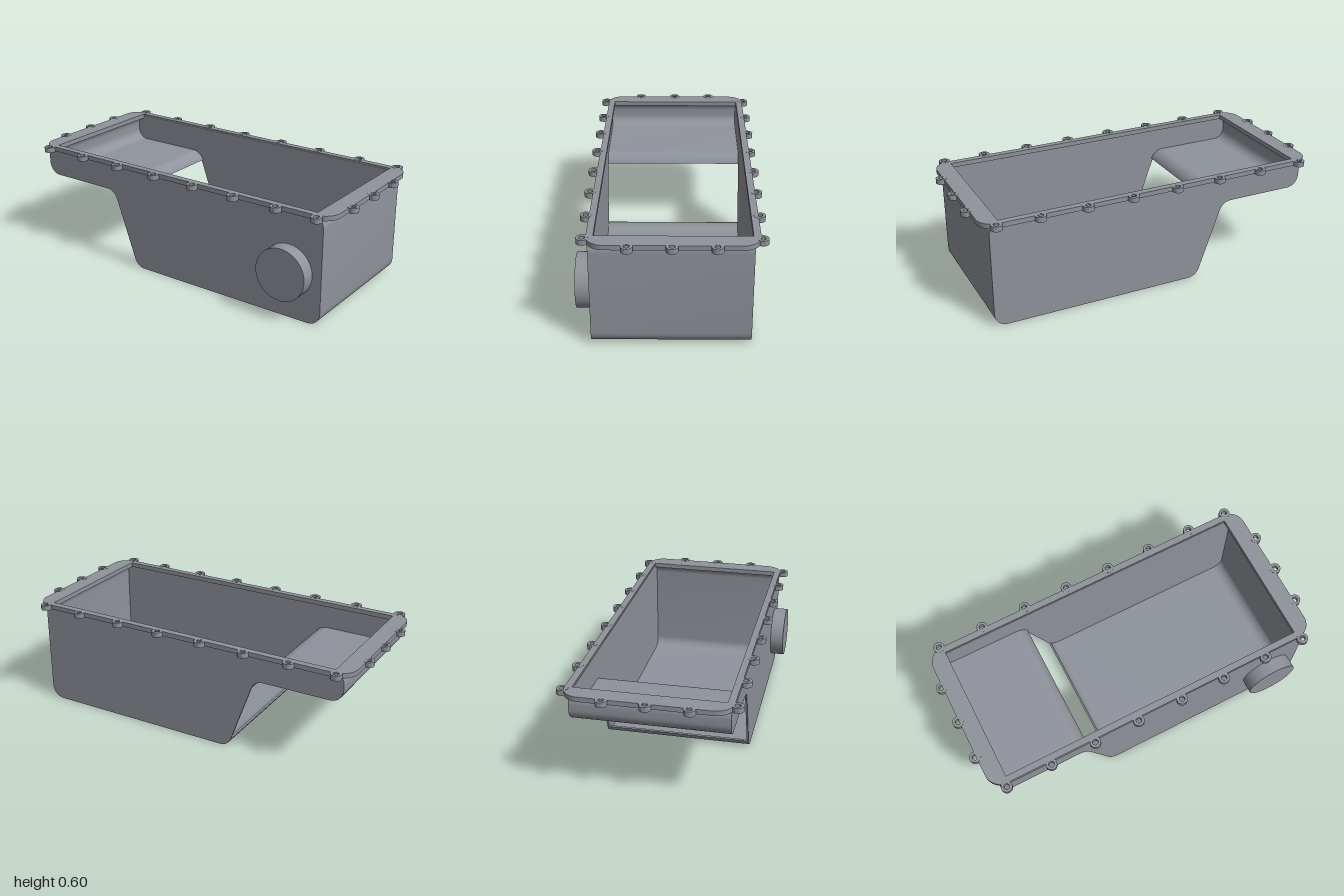
import * as THREE from 'three';
import { toCreasedNormals } from 'three/addons/utils/BufferGeometryUtils.js';

const V = (x, y) => new THREE.Vector2(x, y);

// Points of a round fillet at corner p
function fillet(prev, p, next, r, steps = 12) {
  const a = prev.clone().sub(p).normalize();
  const b = next.clone().sub(p).normalize();
  const half = Math.acos(a.dot(b)) / 2;
  const centre = p.clone().add(a.clone().add(b).normalize().multiplyScalar(r / Math.sin(half)));
  const t = r / Math.tan(half);
  const start = p.clone().addScaledVector(a, t).sub(centre);
  const sweep = (Math.PI - 2 * half) * Math.sign(start.cross(p.clone().addScaledVector(b, t).sub(centre)));
  return Array.from({ length: steps + 1 }, (_, i) =>
    start.clone().rotateAround(V(0, 0), (sweep * i) / steps).add(centre));
}

// Closed outline of a bent sheet: the path and its inward offset
function sheetOutline(path, thick) {
  const inner = path.map((p, i) => {
    const d = path[Math.min(i + 1, path.length - 1)].clone().sub(path[Math.max(i - 1, 0)]).normalize();
    return V(p.x - d.y * thick, p.y + d.x * thick);
  });
  return [...path, ...inner.reverse()];
}

function extrude(shape, depth) {
  return toCreasedNormals(
    new THREE.ExtrudeGeometry(shape, { depth, bevelEnabled: false, curveSegments: 24 }), 0.6);
}

export function createModel() {
  const group = new THREE.Group();
  const metal = new THREE.MeshStandardMaterial({ color: 0x8f939b, side: THREE.DoubleSide });
  metal.name = 'grey metal';

  const add = (name, geometry, x = 0, y = 0, z = 0) => {
    const mesh = new THREE.Mesh(geometry, metal);
    mesh.name = name;
    mesh.position.set(x, y, z);
    group.add(mesh);
  };

  // Side profile: shallow shelf, slope, deep sump
  const corners = [V(-0.92, 0.6), V(-0.92, 0.43), V(-0.426, 0.43), V(-0.272, 0), V(0.915, 0), V(0.915, 0.6)];
  const arcs = corners.map((p, i) => fillet(corners[(i + 5) % 6], p, corners[(i + 1) % 6], 0.07));
  const belowRim = (p) => p.y < 0.592;
  const shelfPath = [...arcs[0], ...arcs[1], ...arcs[2]].filter(belowRim);
  const sumpPath = [...arcs[3], ...arcs[4], ...arcs[5]].filter(belowRim);

  // Bent sheets, with the slope between them left open
  add('shelfFloor', extrude(new THREE.Shape(sheetOutline(shelfPath, 0.01)), 0.79), 0, 0, -0.4);
  add('sumpFloor', extrude(new THREE.Shape(sheetOutline(sumpPath, 0.01)), 0.79), 0, 0, -0.4);

  // Flat side walls
  const wall = extrude(new THREE.Shape([...shelfPath, ...sumpPath]), 0.01);
  add('backWall', wall, 0, 0, -0.408);
  add('frontWall', wall, 0, 0, 0.387);

  // Flange with rounded corners and a rectangular opening (shape y is -z)
  const rim = [V(-0.965, -0.406), V(0.96, -0.406), V(0.96, 0.437), V(-0.965, 0.437)];
  const flange = new THREE.Shape(rim.flatMap((p, i) => fillet(rim[(i + 3) % 4], p, rim[(i + 1) % 4], 0.09)));
  flange.holes.push(new THREE.Path([V(-0.87, -0.37), V(-0.87, 0.4), V(0.865, 0.4), V(0.865, -0.37)]));
  add('flange', extrude(flange, 0.026).rotateX(-Math.PI / 2), 0, 0.575, 0);

  // Bolt bosses around the flange
  const ring = new THREE.Shape().absarc(0, 0, 0.03, 0, Math.PI * 2);
  ring.holes.push(new THREE.Path().absarc(0, 0, 0.015, 0, Math.PI * 2, true));
  const boss = extrude(ring, 0.028).rotateX(-Math.PI / 2);
  for (const x of [-0.89, -0.633, -0.377, -0.12, 0.14, 0.397, 0.655, 0.887]) {
    for (const z of [-0.443, 0.422]) add('boltBoss', boss, x, 0.574, z);
  }
  for (const z of [-0.225, -0.01, 0.205]) {
    for (const x of [-0.97, 0.968]) add('boltBoss', boss, x, 0.574, z);
  }

  // Round port on the front wall
  add('port', new THREE.CylinderGeometry(0.143, 0.143, 0.08, 48).rotateX(Math.PI / 2), 0.72, 0.263, 0.433);

  return group;
}
